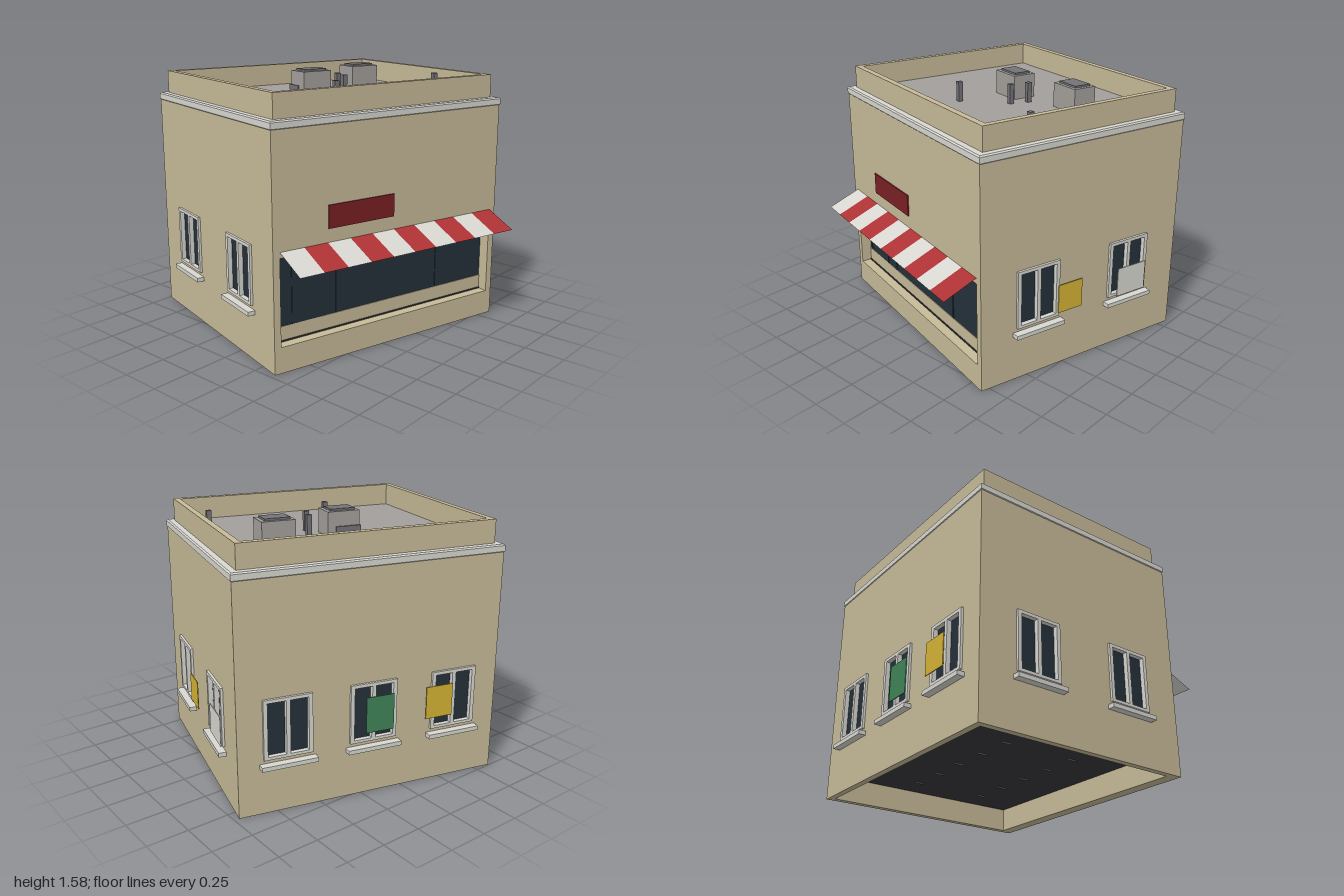
import * as THREE from 'three';

const mat = (name, color) => {
  const m = new THREE.MeshStandardMaterial({ color });
  m.name = name;
  return m;
};

export function createModel() {
  const wallTan = mat('wall tan', 0xc6ba98);
  const trim = mat('pale stone trim', 0xd8d7d1);
  const glass = mat('dark glass', 0x25303a);
  const red = mat('awning red', 0xae3234);
  const signRed = mat('sign dark red', 0x7a2023);
  const yellow = mat('poster yellow', 0xd4b335);
  const green = mat('poster green', 0x3f8458);
  const roofGrey = mat('roof grey', 0xa39f9b);
  const ventGrey = mat('vent grey', 0x737378);
  const floorDark = mat('floor dark', 0x38363a);
  red.side = trim.side = THREE.DoubleSide;

  const model = new THREE.Group();
  model.name = 'shop';
  // the whole building stands turned on its plot
  const building = new THREE.Group();
  building.name = 'building';
  building.rotation.y = -Math.PI / 12;
  building.position.z = -0.097;
  model.add(building);

  const add = (parent, name, geo, material, x = 0, y = 0, z = 0) => {
    const m = new THREE.Mesh(geo, material);
    m.name = name;
    m.position.set(x, y, z);
    parent.add(m);
    return m;
  };
  const box = (parent, name, material, w, h, d, x, y, z) =>
    add(parent, name, new THREE.BoxGeometry(w, h, d), material, x, y, z);
  const rect = (Type, x0, y0, x1, y1) => {
    const s = new Type();
    s.moveTo(x0, y0).lineTo(x1, y0).lineTo(x1, y1).lineTo(x0, y1).closePath();
    return s;
  };

  const HW = 0.814, HD = 0.711; // half width and half depth of the walls
  const WALL_TOP = 1.37, ROOF = 1.416;
  const WIN_W = 0.29, WIN_Y0 = 0.335, WIN_Y1 = 0.695;

  // wall with openings; its outer face lies on local z = 0
  function wall(name, half, thickness, openings, angle, x, z) {
    const g = new THREE.Group();
    g.name = name;
    g.rotation.y = angle;
    g.position.set(x, 0, z);
    building.add(g);
    const shape = rect(THREE.Shape, -half, 0, half, WALL_TOP);
    for (const o of openings) shape.holes.push(rect(THREE.Path, ...o));
    const geo = new THREE.ExtrudeGeometry(shape, { depth: thickness, bevelEnabled: false });
    add(g, name + 'Panel', geo, wallTan, 0, 0, -thickness);
    return g;
  }

  // two-pane window with frame, mullion and sill
  function addWindow(parent, x) {
    const g = new THREE.Group();
    g.name = 'window';
    g.position.x = x;
    parent.add(g);
    const h = WIN_Y1 - WIN_Y0, cy = (WIN_Y0 + WIN_Y1) / 2;
    const f = rect(THREE.Shape, -WIN_W / 2, WIN_Y0, WIN_W / 2, WIN_Y1);
    for (const s of [-1, 1]) {
      const a = s * 0.012, b = s * (WIN_W / 2 - 0.024);
      f.holes.push(rect(THREE.Path, Math.min(a, b), WIN_Y0 + 0.018, Math.max(a, b), WIN_Y1 - 0.02));
    }
    add(g, 'windowFrame', new THREE.ExtrudeGeometry(f, { depth: 0.035, bevelEnabled: false }), trim, 0, 0, -0.02);
    box(g, 'windowGlass', glass, WIN_W, h, 0.006, 0, cy, -0.016);
    box(g, 'windowSill', trim, 0.335, 0.026, 0.065, 0, 0.298, 0.0125);
  }

  function windowedWall(name, half, xs, angle, x, z) {
    const openings = xs.map((c) => [c - WIN_W / 2, WIN_Y0, c + WIN_W / 2, WIN_Y1]);
    const g = wall(name, half, 0.04, openings, angle, x, z);
    xs.forEach((c) => addWindow(g, c));
    return g;
  }
  const poster = (parent, name, material, x0, y0, x1, y1) =>
    box(parent, name, material, x1 - x0, y1 - y0, 0.005, (x0 + x1) / 2, (y0 + y1) / 2, 0.019);

  // side and back walls
  windowedWall('rightWall', HD, [-0.33, 0.33], -Math.PI / 2, -HW, 0);
  const leftWall = windowedWall('leftWall', HD, [-0.33, 0.33], Math.PI / 2, HW, 0);
  const backWall = windowedWall('backWall', HW, [-0.52, 0, 0.52], Math.PI, 0, -HD);
  poster(leftWall, 'yellowPoster', yellow, -0.195, 0.355, -0.025, 0.535);
  poster(leftWall, 'palePoster', trim, 0.25, 0.33, 0.465, 0.515);
  poster(backWall, 'greenPoster', green, -0.05, 0.39, 0.125, 0.61);
  poster(backWall, 'yellowPoster', yellow, 0.336, 0.41, 0.51, 0.61);

  // shop front: recessed glass over a low panel
  const SW = 0.771;
  const front = wall('frontWall', HW, 0.08, [[-SW, 0.155, SW, 0.67]], 0, 0, HD);
  box(front, 'shopGlass', glass, SW * 2, 0.44, 0.01, 0, 0.465, -0.075);
  box(front, 'lowPanel', wallTan, SW * 2, 0.1, 0.014, 0, 0.195, -0.073);
  box(front, 'shopDoor', glass, 0.18, 0.335, 0.006, -0.57, 0.4125, -0.069);
  for (const x of [-0.74, -0.36, 0.39]) box(front, 'shopMullion', glass, 0.008, 0.425, 0.006, x, 0.457, -0.069);
  box(front, 'signBoard', signRed, 0.455, 0.135, 0.008, -0.232, 0.853, 0.004);

  // striped awning, one sloping sheet per stripe
  const STRIPES = 10, sw = (SW * 2) / STRIPES, drop = 0.085, reach = 0.205;
  for (let i = 0; i < STRIPES; i++) {
    const geo = new THREE.PlaneGeometry(sw, Math.hypot(drop, reach));
    const s = add(front, 'awningStripe', geo, i % 2 ? red : trim, -SW + (i + 0.5) * sw, 0.62 + drop / 2, reach / 2);
    s.rotation.x = -Math.atan2(reach, drop);
  }

  // floor slab with small fixings underneath
  box(building, 'floorSlab', floorDark, HW * 2 - 0.06, 0.015, HD * 2 - 0.1, 0, 0.155, -0.01);
  for (let i = 0; i < 6; i++)
    for (const z of [-0.19, 0.3])
      box(building, 'floorFixing', ventGrey, 0.01, 0.01, 0.06, (i - 2.5) * 0.232, 0.145, z);

  // cornice with a bevelled edge
  const cornice = new THREE.ExtrudeGeometry(rect(THREE.Shape, -0.8105, -0.707, 0.8105, 0.707), {
    depth: 0.034, bevelThickness: 0.008, bevelSize: 0.008, bevelSegments: 1,
  });
  add(building, 'cornice', cornice.rotateX(-Math.PI / 2), trim, 0, 1.373, 0);

  // parapet ring and roof
  const ring = rect(THREE.Shape, -0.775, -0.669, 0.775, 0.669);
  ring.holes.push(rect(THREE.Path, -0.738, -0.63, 0.738, 0.63));
  const parapet = new THREE.ExtrudeGeometry(ring, { depth: 0.145, bevelEnabled: false });
  add(building, 'parapet', parapet.rotateX(-Math.PI / 2), wallTan, 0, 1.41, 0);
  box(building, 'roof', roofGrey, 1.48, 0.01, 1.264, 0, ROOF - 0.004, 0);

  // roof units
  for (const [x, z] of [[0.4, -0.209], [-0.051, -0.093]]) {
    box(building, 'roofUnit', roofGrey, 0.203, 0.15, 0.15, x, ROOF + 0.073, z);
    box(building, 'roofUnitGrille', ventGrey, 0.155, 0.012, 0.106, x, 1.57, z);
  }
  box(building, 'roofUnitDuct', ventGrey, 0.16, 0.05, 0.1, -0.079, 1.45, -0.129);

  // vent pipes
  for (const [x, z] of [[0.133, -0.065], [0.106, 0.046], [-0.113, 0.276], [0.65, 0.283]])
    box(building, 'ventPipe', ventGrey, 0.03, 0.125, 0.03, x, ROOF + 0.06, z);

  return model;
}
